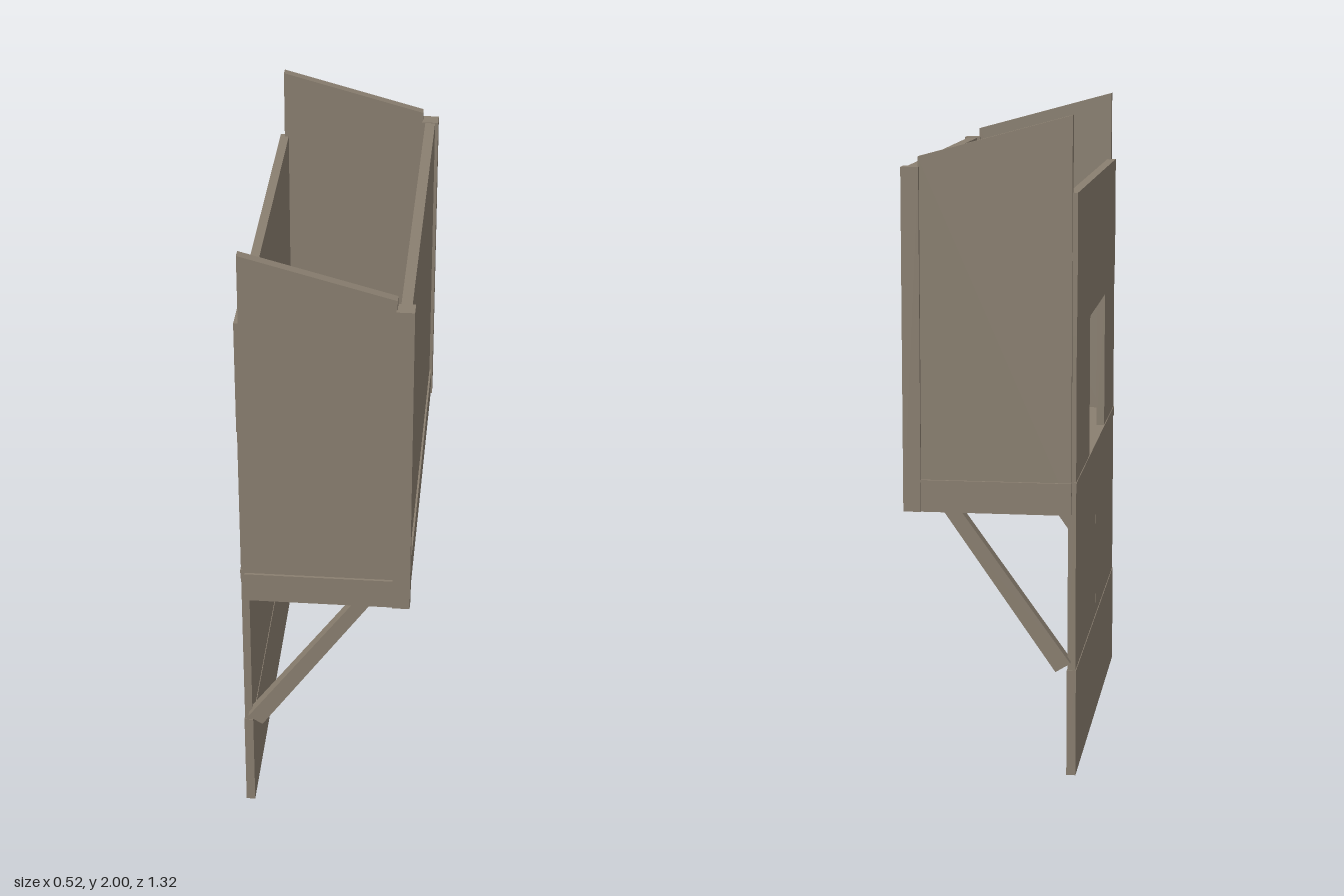
import * as THREE from 'three';

export function createModel() {
  const root = new THREE.Group();
  root.name = 'hangingBalcony';
  const wood = new THREE.MeshStandardMaterial({ color: 0x8a7f70 });
  wood.name = 'weathered wood';

  // Box given by its limits on each axis
  function board(name, x0, x1, y0, y1, z0, z1) {
    const mesh = new THREE.Mesh(new THREE.BoxGeometry(x1 - x0, y1 - y0, z1 - z0), wood);
    mesh.position.set((x0 + x1) / 2, (y0 + y1) / 2, (z0 + z1) / 2);
    mesh.name = name;
    root.add(mesh);
  }

  // Outline in x and y, extruded between two z values
  function cutBoard(name, points, z0, z1) {
    const shape = new THREE.Shape(points.map(([x, y]) => new THREE.Vector2(x, y)));
    const geometry = new THREE.ExtrudeGeometry(shape, { depth: z1 - z0, bevelEnabled: false });
    const mesh = new THREE.Mesh(geometry, wood);
    mesh.position.z = z0;
    mesh.name = name;
    root.add(mesh);
  }

  // Rear wall: panels with slight steps at the seams, around a window opening
  board('wallBottom', -0.26, -0.232, 0, 0.33, -0.635, 0.635);
  board('wallLowerLeft', -0.258, -0.234, 0.33, 0.88, 0.001, 0.633);
  board('wallLowerRight', -0.258, -0.234, 0.33, 0.88, -0.633, -0.001);
  board('windowSill', -0.26, -0.232, 0.88, 0.912, -0.635, 0.635);
  board('wallBesideWindowRight', -0.258, -0.232, 0.912, 1.354, -0.633, -0.226);
  board('wallBesideWindowLeft', -0.258, -0.232, 0.912, 1.354, 0.28, 0.633);
  board('windowHeader', -0.258, -0.232, 1.354, 1.41, -0.633, 0.633);
  board('wallTop', -0.26, -0.232, 1.41, 1.775, -0.635, 0.635);

  // Floor on joists
  board('floor', -0.234, 0.222, 0.89, 0.91, -0.62, 0.62);
  for (const z of [-0.375, -0.125, 0.125, 0.375]) {
    board('joist', -0.234, 0.222, 0.818, 0.89, z - 0.018, z + 0.018);
  }

  // Front panel and its skirt
  board('frontPanel', 0.218, 0.25, 0.82, 1.845, -0.612, 0.612);
  board('frontSkirt', 0.215, 0.256, 0.815, 0.91, -0.61, 0.61);

  // Sloped sides, skirts, corner posts and diagonal braces, on both ends
  for (const side of [-1, 1]) {
    const span = (a, b) => (side > 0 ? [a, b] : [-b, -a]);
    cutBoard('sidePanel', [[-0.245, 0.83], [0.21, 0.83], [0.21, 1.877], [-0.245, 2]], ...span(0.618, 0.648));
    board('sideSkirt', -0.245, 0.207, 0.815, 0.912, ...span(0.612, 0.656));
    board('cornerPost', 0.207, 0.26, 0.815, 1.847, ...span(0.61, 0.66));
    cutBoard('brace', [[-0.245, 0.358], [-0.2, 0.33], [0.137, 0.816], [0.083, 0.816]], ...span(0.612, 0.654));
  }
  return root;
}
